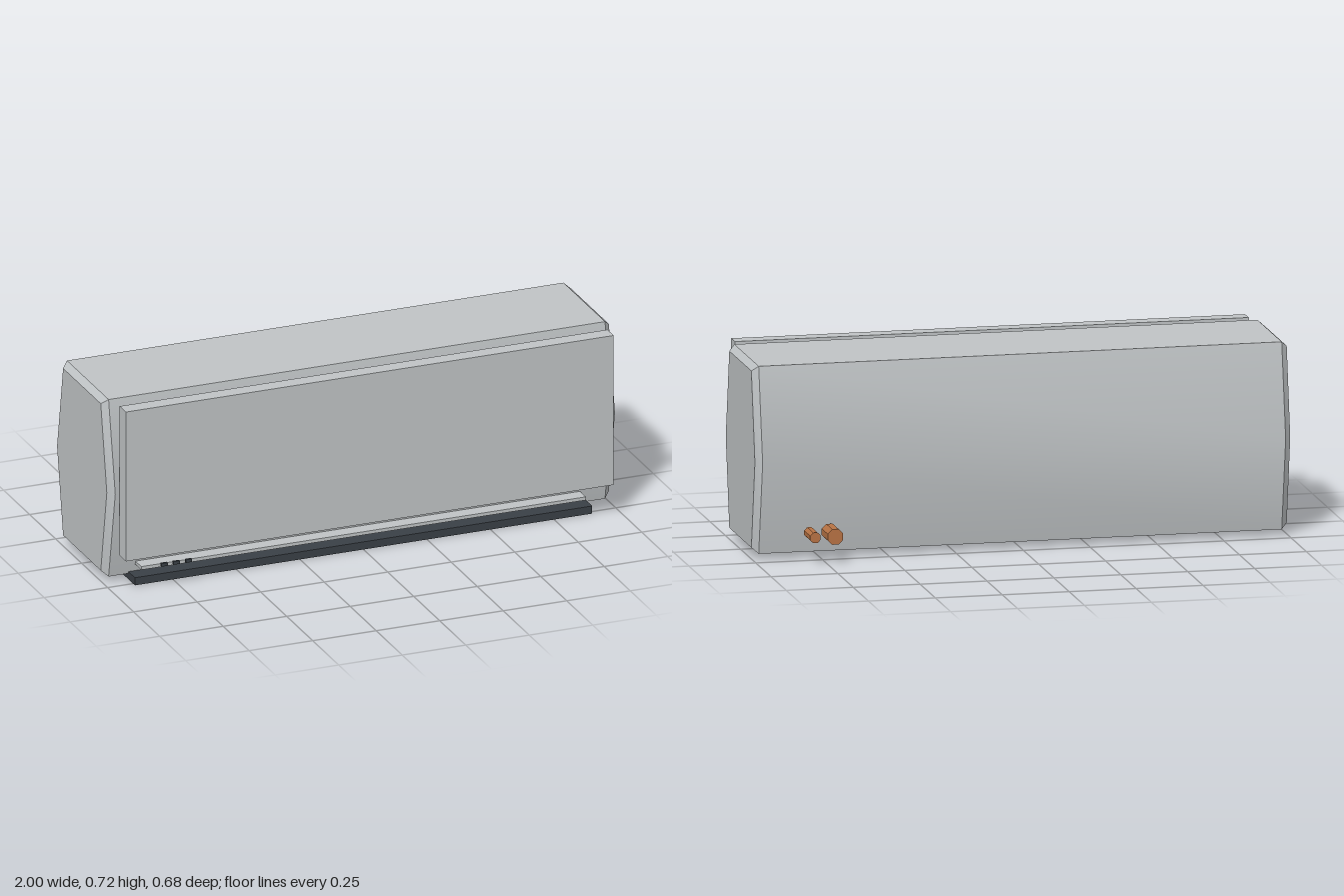
import * as THREE from 'three';
import { toCreasedNormals } from 'three/addons/utils/BufferGeometryUtils.js';

const mat = (name, color) => {
  const m = new THREE.MeshStandardMaterial({ color });
  m.name = name;
  return m;
};

// six-sided (z, y) sections: full size and the smaller bevelled end
const OUTER = [[0.203, 0.72], [0.267, 0.371], [0.203, 0.022], [-0.197, 0.022], [-0.262, 0.371], [-0.197, 0.72]];
const INNER = [[0.184, 0.70], [0.242, 0.371], [0.184, 0.042], [-0.178, 0.042], [-0.236, 0.371], [-0.178, 0.70]];

// joins sections along x and closes both ends
function casingGeometry() {
  const sections = [[-1, INNER], [-0.977, OUTER], [0.977, OUTER], [1, INNER]];
  const pos = [], idx = [], n = 6;
  for (const [x, pts] of sections) for (const [z, y] of pts) pos.push(x, y, z);
  for (let s = 0; s < 3; s++) {
    for (let i = 0; i < n; i++) {
      const j = (i + 1) % n, a = s * n + i, b = s * n + j;
      idx.push(a, b, b + n, a, b + n, a + n);
    }
  }
  for (let i = 1; i < n - 1; i++) {
    idx.push(0, i + 1, i);
    idx.push(3 * n, 3 * n + i, 3 * n + i + 1);
  }
  const g = new THREE.BufferGeometry();
  g.setAttribute('position', new THREE.Float32BufferAttribute(pos, 3));
  g.setIndex(idx);
  return toCreasedNormals(g, 0.45);
}

export function createModel() {
  const group = new THREE.Group();
  group.name = 'wallAirConditioner';
  const shell = mat('light grey plastic', 0xc0c4c6);
  const dark = mat('dark plastic', 0x3a4046);
  const copper = mat('copper', 0xb87344);

  const add = (name, geometry, material, x, y, z) => {
    const m = new THREE.Mesh(geometry, material);
    m.name = name;
    m.position.set(x, y, z);
    group.add(m);
    return m;
  };
  const box = (name, material, w, y0, y1, z0, z1, x = 0) =>
    add(name, new THREE.BoxGeometry(w, y1 - y0, z1 - z0), material, x, (y0 + y1) / 2, (z0 + z1) / 2);

  add('casing', casingGeometry(), shell, 0, 0, 0);
  box('frontPanel', shell, 1.92, 0.127, 0.716, 0.268, 0.328);

  // air outlet
  box('louver', shell, 1.75, 0.057, 0.07, 0.19, 0.268);
  box('airOutlet', dark, 1.8, 0, 0.03, 0.068, 0.268);

  // indicator lights
  for (let i = 0; i < 3; i++) {
    box('indicator', dark, 0.025, 0.089, 0.101, 0.329, 0.339, -0.812 + i * 0.048);
  }

  // refrigerant pipes at the back
  for (const [x, r] of [[0.722, 0.031], [0.797, 0.021]]) {
    const g = new THREE.CylinderGeometry(r, r, 0.1, 8, 1, false, Math.PI / 8);
    g.rotateX(Math.PI / 2);
    add('pipe', toCreasedNormals(g, 0.4), copper, x, 0.1015, -0.287);
  }
  return group;
}
